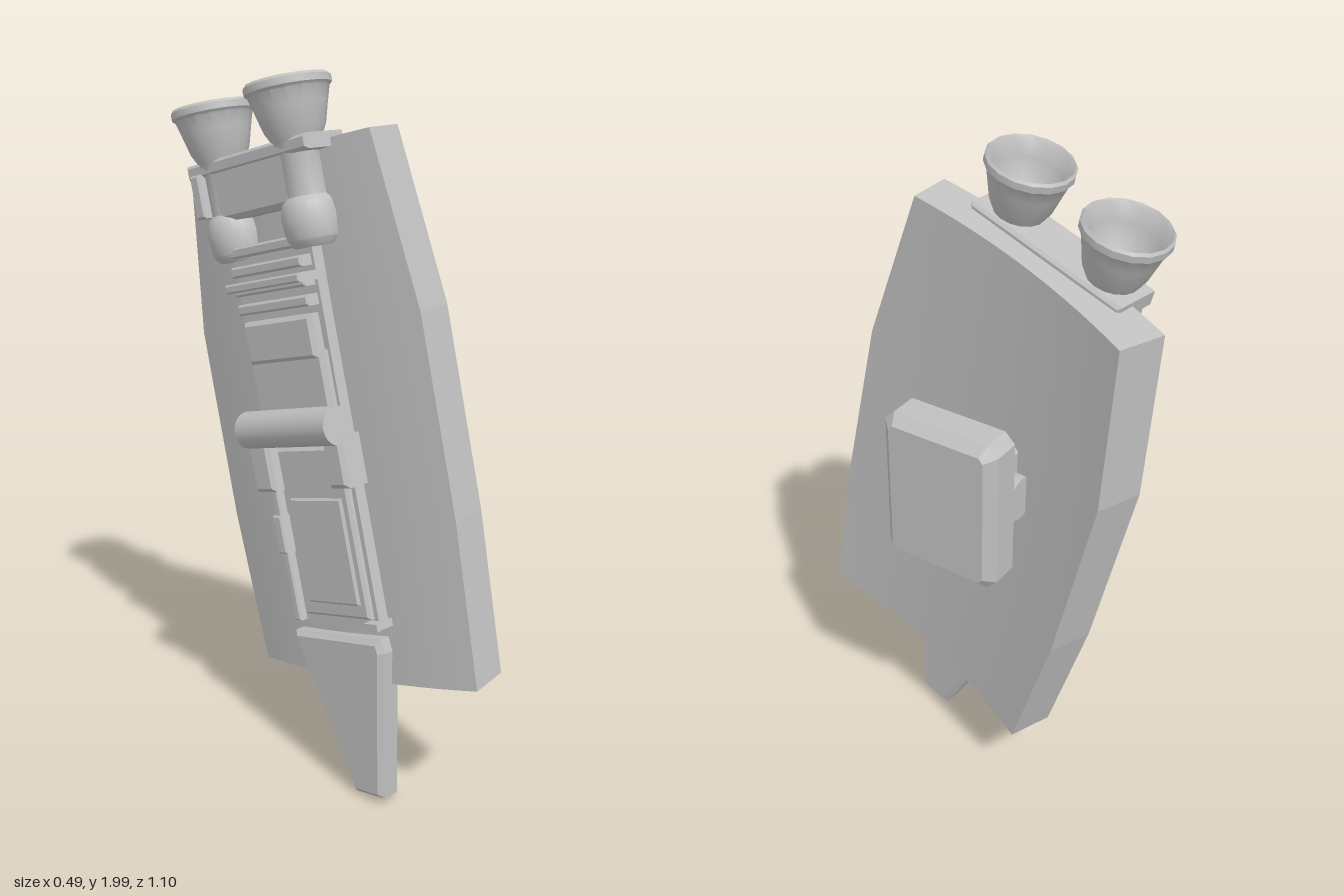
import * as THREE from 'three';
import { mergeGeometries, toCreasedNormals } from 'three/addons/utils/BufferGeometryUtils.js';

const grey = new THREE.MeshStandardMaterial({ color: 0xc0c0c0 });
grey.name = 'hull grey';

function add(parent, name, geometry) {
  const mesh = new THREE.Mesh(geometry, grey);
  mesh.name = name;
  parent.add(mesh);
  return mesh;
}

// Extrude a (z, y) outline along x from x0 to x1 with chamfered rims
function slab(points, x0, x1, b = 0) {
  const shape = new THREE.Shape(points.map(([z, y]) => new THREE.Vector2(z, y)));
  const geo = new THREE.ExtrudeGeometry(shape, {
    depth: x1 - x0 - 2 * b, bevelEnabled: b > 0, bevelSize: b,
    bevelThickness: b, bevelOffset: -b, bevelSegments: 1,
  });
  return geo.rotateY(-Math.PI / 2).translate(x1 - b, 0, 0);
}

// Box by its limits; c cuts the four corners of its (z, y) outline
function block(x0, x1, y0, y1, z0, z1, b = 0, c = 0) {
  const pts = c
    ? [[z0 + c, y0], [z1 - c, y0], [z1, y0 + c], [z1, y1 - c],
      [z1 - c, y1], [z0 + c, y1], [z0, y1 - c], [z0, y0 + c]]
    : [[z0, y0], [z1, y0], [z1, y1], [z0, y1]];
  return slab(pts, x0, x1, b);
}

// Surface patch from f(a, b), facing da x db
function patch(f, na, nb, flat) {
  const pos = [], idx = [];
  for (let i = 0; i <= na; i++) {
    for (let j = 0; j <= nb; j++) pos.push(...f(i / na, j / nb));
  }
  for (let i = 0; i < na; i++) {
    for (let j = 0; j < nb; j++) {
      const p = i * (nb + 1) + j, q = p + nb + 1;
      idx.push(p, q, q + 1, p, q + 1, p + 1);
    }
  }
  const geo = new THREE.BufferGeometry();
  geo.setAttribute('position', new THREE.Float32BufferAttribute(pos, 3));
  geo.setIndex(idx);
  if (!flat) geo.computeVertexNormals();
  const out = geo.toNonIndexed();
  if (flat) out.computeVertexNormals();
  return out;
}

// Curved plate: rows from top to bottom, front and rear corner of the inner face
function curvedPlate() {
  const rows = [
    [[0.025, 1.862, 0.165], [0.148, 1.687, -0.49], 0.037],
    [[0.0, 1.42, 0.34], [0.15, 1.225, -0.463], 0.045],
    [[-0.02, 0.89, 0.47], [0.13, 0.68, -0.336], 0.045],
    [[-0.035, 0.442, 0.556], [0.1, 0.25, -0.2], 0.042],
  ];
  const mix = THREE.MathUtils.lerp;
  const p = (u, v, w) => {
    const k = Math.min(2, Math.floor(v * 3 + 1e-6)), t = v * 3 - k;
    const at = (r) => r[0].map((c, i) => mix(c, r[1][i], u) - (i === 0 ? r[2] * 4 * u * (1 - u) : 0));
    const a = at(rows[k]), b = at(rows[k + 1]);
    const q = a.map((c, i) => mix(c, b[i], t));
    return [q[0] - w * mix(0.13, 0.123, u), q[1], q[2] - w * 0.052 * u];
  };
  return mergeGeometries([
    patch((u, v) => p(u, v, 1), 14, 3),
    patch((v, u) => p(u, v, 0), 3, 14),
    patch((v, w) => p(1, v, w), 3, 1, true),
    patch((w, v) => p(0, v, w), 1, 3, true),
    patch((w, u) => p(u, 1, w), 1, 14),
    patch((u, w) => p(u, 0, w), 14, 1),
  ]);
}

function lathe(profile, sides) {
  const geo = new THREE.LatheGeometry(profile.map(([r, y]) => new THREE.Vector2(r, y)), sides);
  return toCreasedNormals(geo, 0.6);
}

export function createModel() {
  const model = new THREE.Group();
  model.name = 'thrusterShield';

  add(model, 'curvedPlate', curvedPlate());

  // Arm mount on the hollow side
  add(model, 'mountBox', block(0.11, 0.245, 0.9, 1.355, -0.212, 0.137, 0.028, 0.03));
  add(model, 'mountNeck', block(0.015, 0.125, 1.0, 1.26, -0.17, 0.07, 0.015, 0.02));
  const hinge = add(model, 'mountHinge', new THREE.CylinderGeometry(0.062, 0.062, 0.33, 20));
  hinge.rotation.x = Math.PI / 2;
  hinge.position.set(0.09, 1.125, -0.04);

  // Gear on the bulging side, in the plate's tilted frame
  const gear = new THREE.Group();
  gear.name = 'thrusterPack';
  const up = new THREE.Vector3(0.04, 0.97, -0.243).normalize();
  const side = up.clone().cross(new THREE.Vector3(-0.175, 0.245, 0.955)).normalize();
  const front = side.clone().cross(up);
  gear.applyMatrix4(new THREE.Matrix4().makeBasis(side, up, front).setPosition(-0.105, 1.06, -0.02));
  model.add(gear);

  // name, x0, x1, y0, y1, z0, z1, bevel
  const blocks = [
    ['backPlate', -0.03, 0.04, -0.57, 0.5, -0.165, 0.16, 0],
    ['lowerCover', -0.048, 0, -0.54, -0.06, -0.115, 0.145, 0.008],
    ['coverInset', -0.056, 0, -0.5, -0.2, -0.085, 0.12, 0.006],
    ['sideRail', -0.055, 0.03, -0.56, -0.17, -0.16, -0.135, 0.005],
    ['railClamp', -0.065, 0.02, -0.36, -0.25, -0.165, -0.13, 0.005],
    ['rearHousing', -0.075, 0.04, -0.18, -0.03, -0.205, -0.12, 0.012],
    ['frontHousing', -0.07, 0.04, -0.17, -0.03, 0.1, 0.175, 0.012],
    ['middleBlock', -0.055, 0.03, 0.03, 0.2, -0.15, 0.15, 0.012],
    ['upperBlock', -0.065, 0.03, 0.18, 0.3, -0.14, 0.14, 0.012],
    ['ventLip', -0.1, 0, 0.385, 0.41, -0.14, 0.165, 0.005],
    ['bracket', -0.065, 0.06, 0.58, 0.735, -0.16, 0.16, 0.015],
    ['engineBase', -0.07, 0.07, 0.71, 0.75, -0.25, 0.25, 0.008],
    ['engineTab', -0.085, 0, 0.6, 0.72, -0.225, -0.185, 0.006],
    ['lowerPeg', -0.06, 0, -0.565, -0.545, 0.13, 0.18, 0],
  ];
  for (const [name, ...limits] of blocks) add(gear, name, block(...limits));

  // Vent ribs
  for (let i = 0; i < 4; i++) {
    const y = 0.32 + i * 0.052;
    add(gear, 'ventRib', block(-0.07, 0, y, y + 0.03, -0.14, 0.15, 0.006));
  }

  // Cross cylinder
  const roller = add(gear, 'crossCylinder', new THREE.CylinderGeometry(0.053, 0.053, 0.37, 20));
  roller.rotation.x = Math.PI / 2;
  roller.position.set(-0.06, 0, -0.015);

  // Twin engines: bulb, neck, bell and hollow throat
  const engine = lathe([
    [0, 0.47], [0.055, 0.47], [0.072, 0.49], [0.078, 0.55], [0.07, 0.585], [0.056, 0.6],
    [0.056, 0.72], [0.066, 0.745], [0.082, 0.775], [0.097, 0.83], [0.108, 0.868],
    [0.116, 0.875], [0.116, 0.893], [0.11, 0.9], [0.103, 0.893], [0.09, 0.85],
    [0.07, 0.805], [0.042, 0.77], [0, 0.77],
  ], 16);
  for (const s of [-1, 1]) add(gear, 'engine', engine).position.set(-0.012, 0, s * 0.157);

  // Tail fin
  add(gear, 'tailFin', slab(
    [[-0.2, -0.6], [-0.061, -1.07], [0.049, -1.075], [0.155, -0.64], [0.15, -0.6]], -0.04, 0.04, 0.015));

  return model;
}
